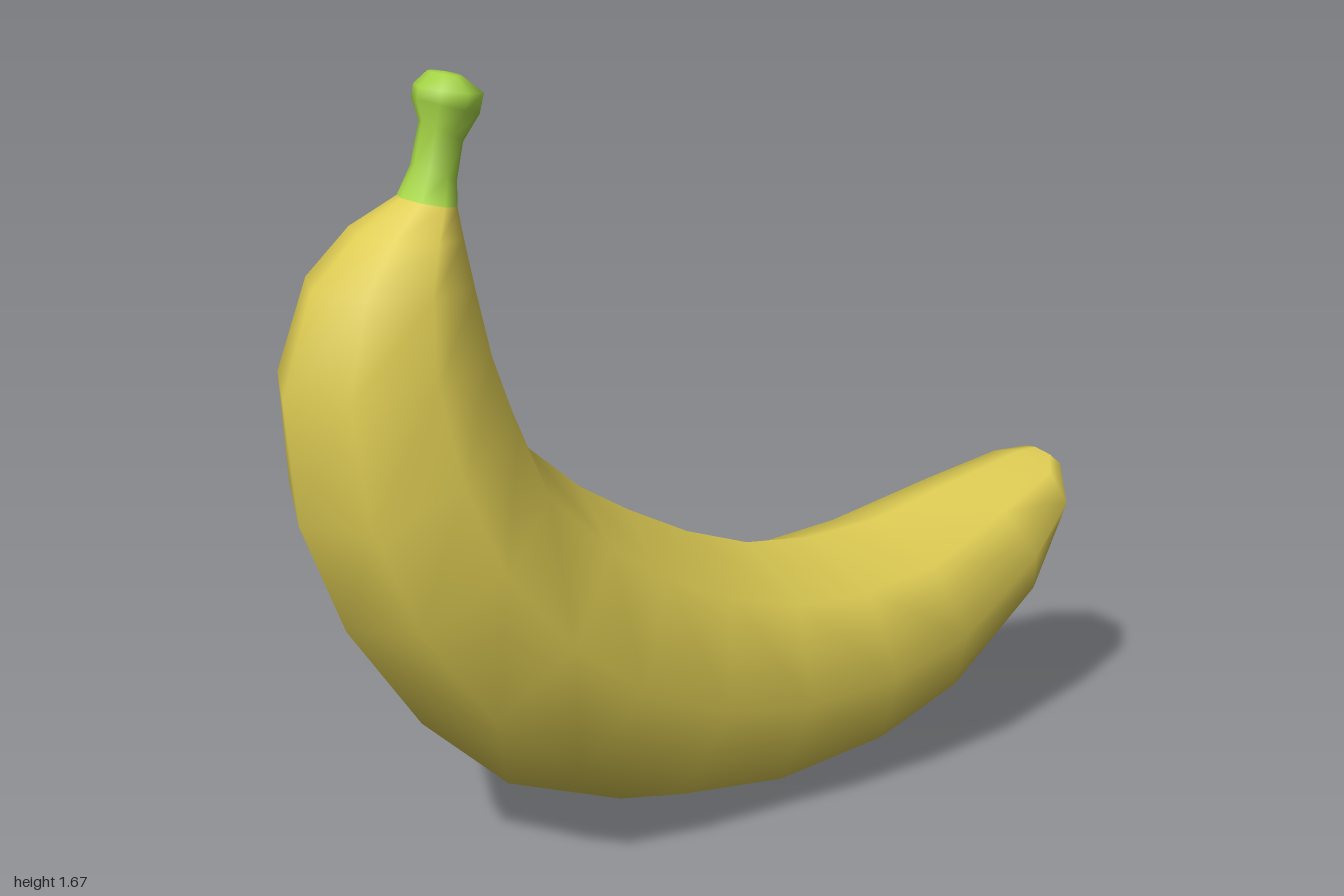
import * as THREE from 'three';

const SIDES = 8;

// Cross-sections from blossom tip to stem top:
// [outer x, outer y, inner x, inner y, half width in z]
const RINGS = [
  [0.99, 0.56, 0.94, 0.62, 0.06],
  [0.94, 0.43, 0.89, 0.62, 0.14],
  [0.84, 0.29, 0.70, 0.587, 0.2],
  [0.56, 0.11, 0.46, 0.54, 0.263],
  [0.33, 0.03, 0.27, 0.535, 0.278],
  [0.03, 0.0, 0.09, 0.56, 0.285],
  [-0.25, 0.035, -0.07, 0.62, 0.29],
  [-0.53, 0.15, -0.22, 0.70, 0.295],
  [-0.73, 0.34, -0.34, 0.775, 0.292],
  [-0.89, 0.58, -0.47, 0.89, 0.278],
  [-0.98, 0.82, -0.52, 1.02, 0.25],
  [-1.0, 1.08, -0.565, 1.15, 0.215],
  [-0.93, 1.28, -0.595, 1.27, 0.172],
  [-0.83, 1.375, -0.617, 1.36, 0.13],
  [-0.73, 1.435, -0.62, 1.41, 0.07],
  [-0.7, 1.495, -0.617, 1.46, 0.054],
  [-0.68, 1.58, -0.60, 1.53, 0.05],
  [-0.69, 1.622, -0.567, 1.585, 0.078],
  [-0.685, 1.645, -0.555, 1.627, 0.078],
  [-0.655, 1.67, -0.60, 1.662, 0.045],
];
const STEM_START = 14;

// Eight-sided ring of points in the plane of one cross-section
function ringPoints([ox, oy, ix, iy, w]) {
  const points = [];
  for (let j = 0; j < SIDES; j++) {
    const a = (j / SIDES) * Math.PI * 2;
    const t = (1 + Math.cos(a)) / 2;
    points.push(ix + (ox - ix) * t, iy + (oy - iy) * t, Math.sin(a) * w);
  }
  return points;
}

// Triangles joining the rings from one index to another
function skinIndex(from, to) {
  const index = [];
  for (let i = from; i < to; i++) {
    for (let j = 0; j < SIDES; j++) {
      const k = (j + 1) % SIDES;
      const a = i * SIDES + j, b = i * SIDES + k;
      index.push(a, b, b + SIDES, a, b + SIDES, a + SIDES);
    }
  }
  return index;
}

export function createModel() {
  const peelYellow = new THREE.MeshStandardMaterial({ color: 0xdfcd54 });
  const stemGreen = new THREE.MeshStandardMaterial({ color: 0xa4d346 });
  const tipBrown = new THREE.MeshStandardMaterial({ color: 0x9c8068 });
  const group = new THREE.Group();
  group.name = 'banana';

  const add = (name, geometry, material) => {
    const mesh = new THREE.Mesh(geometry, material);
    mesh.name = name;
    group.add(mesh);
  };

  // One continuous skin, so shading flows smoothly from peel into stem
  const positions = RINGS.flatMap(ringPoints);
  const last = RINGS.length - 1;
  const [ox, oy, ix, iy] = RINGS[last];
  positions.push((ox + ix) / 2, (oy + iy) / 2 + 0.003, 0);
  const stemCap = [];
  for (let j = 0; j < SIDES; j++) {
    stemCap.push(RINGS.length * SIDES, last * SIDES + j, last * SIDES + ((j + 1) % SIDES));
  }
  const peelIndex = skinIndex(0, STEM_START);
  const stemIndex = [...skinIndex(STEM_START, last), ...stemCap];
  const skin = new THREE.BufferGeometry();
  skin.setAttribute('position', new THREE.Float32BufferAttribute(positions, 3));
  skin.setIndex([...peelIndex, ...stemIndex]);
  skin.computeVertexNormals();

  const peel = skin.clone();
  peel.setIndex(peelIndex);
  add('peel', peel, peelYellow);
  const stem = skin.clone();
  stem.setIndex(stemIndex);
  add('stem', stem, stemGreen);

  // Flat dried end at the blossom tip
  const tip = new THREE.BufferGeometry();
  tip.setAttribute('position', new THREE.Float32BufferAttribute(ringPoints(RINGS[0]), 3));
  const tipIndex = [];
  for (let j = 1; j < SIDES - 1; j++) tipIndex.push(0, j + 1, j);
  tip.setIndex(tipIndex);
  tip.computeVertexNormals();
  add('blossomTip', tip, tipBrown);

  return group;
}
